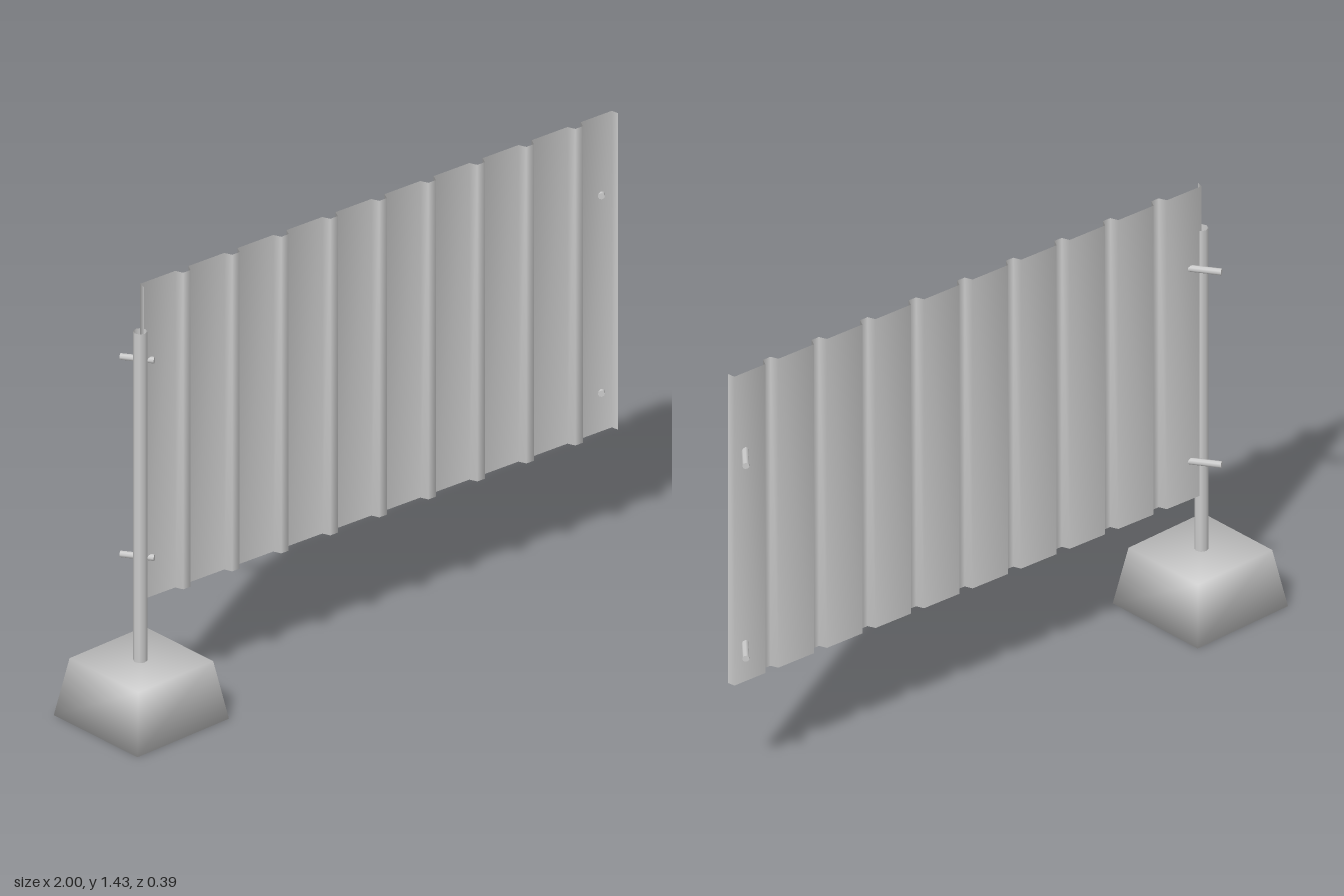
import * as THREE from 'three';
import { mergeVertices } from 'three/addons/utils/BufferGeometryUtils.js';

const grey = new THREE.MeshStandardMaterial({ color: 0xcccccc });
const greyThin = new THREE.MeshStandardMaterial({ color: 0xcccccc, side: THREE.DoubleSide });

const LEFT = -0.805, RIGHT = 0.98, BOTTOM = 0.38, TOP = 1.43;
const BACK = -0.012, FRONT = 0.012;

function part(name, geometry, material = grey) {
  const mesh = new THREE.Mesh(geometry, material);
  mesh.name = name;
  return mesh;
}

// Corrugated sheet: flat bays, narrow raised ribs and a small lip at both ends
function sheetGeometry() {
  const profile = [[LEFT, FRONT], [LEFT + 0.005, BACK]];
  for (let i = 0; i < 9; i++) {
    const x = -0.643 + i * 0.1845;
    profile.push([x - 0.025, BACK], [x - 0.014, FRONT], [x + 0.014, FRONT], [x + 0.025, BACK]);
  }
  profile.push([RIGHT - 0.005, BACK], [RIGHT, FRONT]);

  const positions = [], index = [];
  profile.forEach(([x, z], i) => {
    positions.push(x, BOTTOM, z, x, TOP, z);
    if (i > 0) {
      const a = 2 * i - 2;
      index.push(a, a + 2, a + 3, a, a + 3, a + 1);
    }
  });
  const g = new THREE.BufferGeometry();
  g.setAttribute('position', new THREE.Float32BufferAttribute(positions, 3));
  g.setIndex(index);
  g.computeVertexNormals();
  return g;
}

// Tapered block with shared corners, so it shades softly
function baseGeometry() {
  const box = new THREE.BoxGeometry(0.365, 0.19, 0.365);
  box.deleteAttribute('normal');
  box.deleteAttribute('uv');
  const g = mergeVertices(box);
  const p = g.attributes.position;
  for (let i = 0; i < p.count; i++) {
    if (p.getY(i) > 0) {
      p.setX(i, p.getX(i) * 0.82);
      p.setZ(i, p.getZ(i) * 0.82);
    }
  }
  g.computeVertexNormals();
  return g;
}

// Round peg between two points
function peg(name, a, b) {
  const dir = b.clone().sub(a);
  const mesh = part(name, new THREE.CylinderGeometry(0.0105, 0.0105, dir.length(), 8));
  mesh.position.copy(a).add(b).multiplyScalar(0.5);
  mesh.quaternion.setFromUnitVectors(new THREE.Vector3(0, 1, 0), dir.normalize());
  return mesh;
}

export function createModel() {
  const model = new THREE.Group();
  model.name = 'fencePanel';

  const base = part('baseBlock', baseGeometry());
  base.position.set(-0.805, 0.095, 0);
  base.rotation.y = 0.07;
  model.add(base);

  // Hollow post
  const post = part('post', new THREE.CylinderGeometry(0.021, 0.021, 1.1, 8, 1, true), greyThin);
  post.position.set(-0.809, 0.73, 0);
  model.add(post);

  model.add(part('corrugatedSheet', sheetGeometry(), greyThin));

  // Slanted pegs through the sheet, mirrored about its middle
  const middle = (LEFT + RIGHT) / 2;
  for (const [side, s] of [['left', 1], ['right', -1]]) {
    for (const [level, y] of [['Upper', 1.165], ['Lower', 0.51]]) {
      model.add(peg(side + level + 'Peg',
        new THREE.Vector3(middle + s * 0.841, y, -0.003),
        new THREE.Vector3(middle + s * 0.904, y, -0.085)));
    }
  }
  return model;
}
